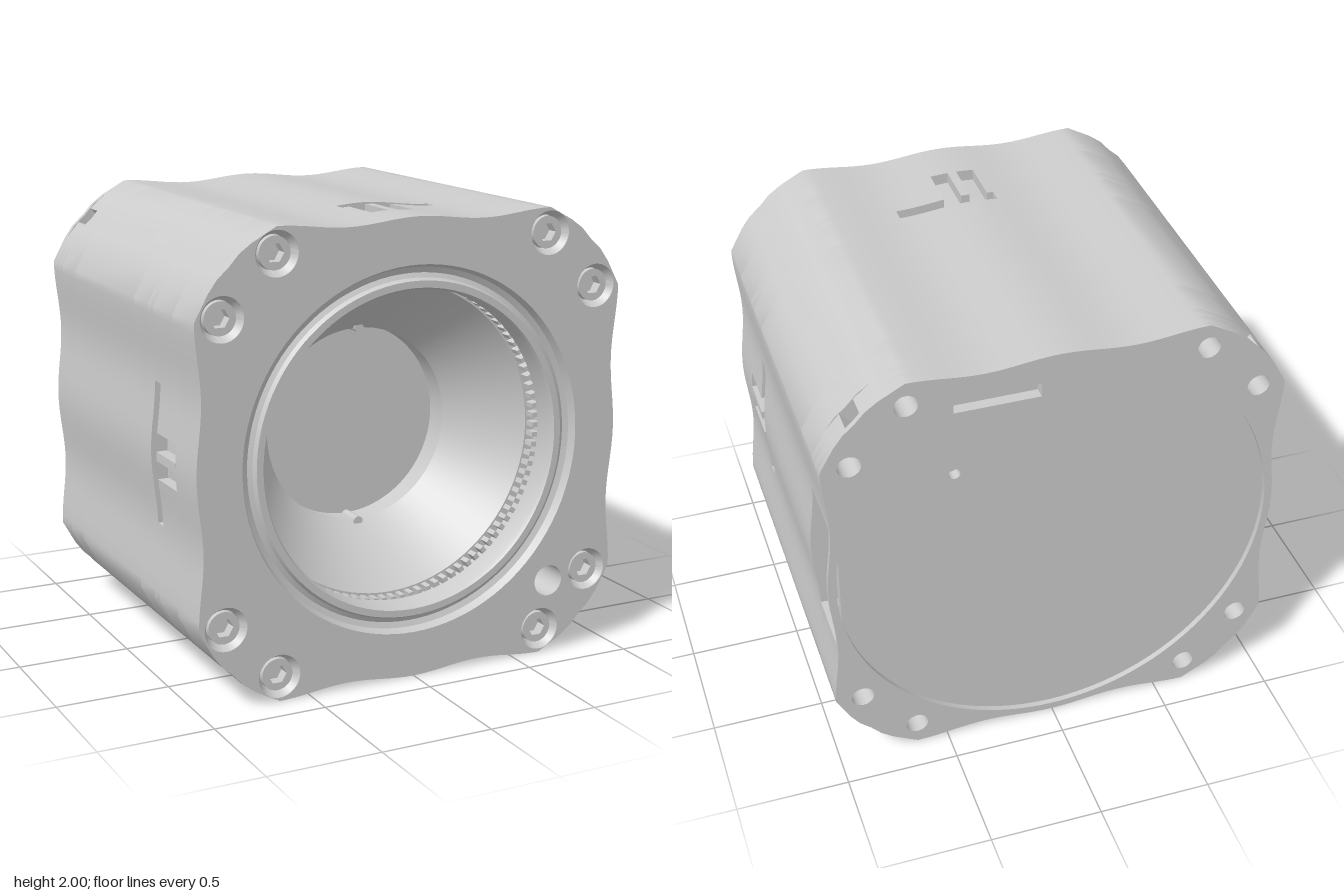
import * as THREE from 'three';
import { toCreasedNormals, mergeGeometries } from 'three/addons/utils/BufferGeometryUtils.js';

const mat = new THREE.MeshStandardMaterial({ color: 0xcccccc });
const matDouble = new THREE.MeshStandardMaterial({ color: 0xcccccc, side: THREE.DoubleSide });

// Wavy half-width of a side at position t
const wave = t => 0.9875 + 0.0125 * Math.cos((2 * Math.PI * t) / 0.64);
const cornerPlain = [[0.94, 0.75], [0.9, 0.805], [0.85, 0.85], [0.805, 0.9], [0.75, 0.94]];
const cornerCut = [[0.94, 0.75], [0.88, 0.82], [0.81, 0.75], [0.75, 0.81], [0.82, 0.88], [0.75, 0.94]];

// Housing outline; cuts[k] lists [from, to, depth] notches on side k (+x, top, -x, bottom)
function outline(cuts = [], corner = cornerPlain) {
  const pts = [];
  for (let k = 0; k < 4; k++) {
    const list = cuts[k] || [];
    const side = [];
    for (let i = 0; i <= 32; i++) {
      const t = -0.64 + i * 0.04;
      if (!list.some(([a, b]) => t >= a - 0.005 && t <= b + 0.005)) side.push([wave(t), t]);
    }
    for (const [a, b, d] of list) {
      side.push([wave(a), a], [wave(a) - d, a], [wave(b) - d, b], [wave(b), b]);
    }
    side.sort((p, q) => p[1] - q[1]);
    const c = Math.round(Math.cos(k * Math.PI / 2)), s = Math.round(Math.sin(k * Math.PI / 2));
    for (const [x, y] of [...side, ...corner]) pts.push(new THREE.Vector2(x * c - y * s, x * s + y * c));
  }
  return new THREE.Shape(pts);
}

const circle = (x, y, r) => new THREE.Path().absarc(x, y, r, 0, Math.PI * 2, true);

function add(group, name, geometry, material = mat) {
  const mesh = new THREE.Mesh(geometry, material);
  mesh.name = name;
  group.add(mesh);
  return mesh;
}

function slice(group, name, z0, z1, shape, holes = []) {
  shape.holes.push(...holes);
  const geo = new THREE.ExtrudeGeometry(shape, { depth: z1 - z0, bevelEnabled: false, curveSegments: 48 });
  geo.translate(0, 0, z0);
  return add(group, name, toCreasedNormals(geo, 0.7));
}

function lathe(points) {
  const geo = new THREE.LatheGeometry(points.map(p => new THREE.Vector2(...p)), 96);
  geo.rotateX(Math.PI / 2);
  return toCreasedNormals(geo, 0.5);
}

export function createModel() {
  const root = new THREE.Group();
  root.name = 'cameraHousing';
  const body = new THREE.Group();
  body.name = 'body';
  body.position.y = 1;
  root.add(body);

  // Screw positions: two near each corner
  const screws = [];
  for (const sx of [-1, 1]) for (const sy of [-1, 1]) {
    screws.push([0.64 * sx, 0.89 * sy], [0.88 * sx, 0.645 * sy]);
  }
  const screwHoles = r => screws.map(([x, y]) => circle(x, y, r));

  // Latch recesses on the four sides
  const pads = [[-0.1, -0.02, 0.05], [0.02, 0.1, 0.05]];
  const bar = [[-0.31, 0.31, 0.05]];
  const topBar = [[-0.32, 0.13, 0.05]];
  const bottomBar = [[-0.13, 0.32, 0.05]];
  const port = d => [[[-0.325, 0.325, d]]];

  // Housing, front to back
  slice(body, 'frontFrame', 0.63, 0.855, outline(),
    [circle(0, 0, 0.8), circle(0.68, -0.67, 0.07), ...screwHoles(0.095)]);
  slice(body, 'latchPads', 0.42, 0.63, outline([pads, pads, pads, pads]), [circle(0, 0, 0.8)]);
  slice(body, 'latchBars', 0.36, 0.42, outline([bar, topBar, bar, bottomBar]), [circle(0, 0, 0.8)]);
  slice(body, 'lensSeat', 0.2, 0.36, outline(), [circle(0, 0, 0.6)]);
  slice(body, 'mainHousing', -0.55, 0.2, outline());
  slice(body, 'sidePort', -0.73, -0.55, outline(port(0.14)));
  slice(body, 'rearHousing', -0.78, -0.73, outline(port(0.14), cornerCut), screwHoles(0.05));

  // Back plate with slot and pinhole, inside a thin rim
  const slot = new THREE.Path([[0.07, 0.79], [0.07, 0.855], [0.44, 0.855], [0.44, 0.79]]
    .map(p => new THREE.Vector2(...p)));
  slice(body, 'backPlate', -0.83, -0.78, outline(port(0.03), cornerCut),
    [slot, circle(0.44, 0.48, 0.025), ...screwHoles(0.05)]);
  slice(body, 'backRim', -0.855, -0.83, outline(), [circle(0, 0, 0.965), ...screwHoles(0.05)]);

  // Lens opening: stepped rings, tooth groove, cone and inner disc
  add(body, 'lensOpening', lathe([
    [0.8, 0.855], [0.785, 0.82], [0.76, 0.81], [0.74, 0.82], [0.73, 0.84], [0.7, 0.84], [0.69, 0.82],
    [0.69, 0.72], [0.735, 0.72], [0.735, 0.62], [0.69, 0.62], [0.44, 0.31], [0.44, 0.2], [0, 0.2],
  ]), matDouble);

  // Ring of fine teeth inside the opening
  const teeth = [];
  for (let i = 0; i < 100; i++) {
    const tooth = new THREE.BoxGeometry(0.035, 0.022, 0.05);
    tooth.translate(0.715, 0, 0.645);
    tooth.rotateZ((i / 100) * Math.PI * 2);
    teeth.push(tooth);
  }
  add(body, 'toothRing', mergeGeometries(teeth));

  // Locating pins at the top and bottom of the inner disc
  for (const s of [-1, 1]) {
    const pin = add(body, 'locatingPin', new THREE.CylinderGeometry(0.022, 0.022, 0.12, 16));
    pin.rotation.x = Math.PI / 2;
    pin.position.set(0, 0.445 * s, 0.27);
  }

  // Recessed screws with hexagonal sockets
  const head = new THREE.Shape().absarc(0, 0, 0.07, 0, Math.PI * 2, false);
  const hex = [];
  for (let i = 0; i < 6; i++) {
    const a = -i * Math.PI / 3;
    hex.push(new THREE.Vector2(0.042 * Math.cos(a), 0.042 * Math.sin(a)));
  }
  head.holes.push(new THREE.Path(hex));
  const headGeo = toCreasedNormals(
    new THREE.ExtrudeGeometry(head, { depth: 0.05, bevelEnabled: false, curveSegments: 16 }), 0.6);
  const collarGeo = lathe([[0.095, 0.85], [0.075, 0.82], [0.075, 0.78], [0, 0.78]]);
  for (const [x, y] of screws) {
    const screw = new THREE.Group();
    screw.name = 'screw';
    screw.position.set(x, y, 0);
    add(screw, 'screwCollar', collarGeo, matDouble);
    add(screw, 'screwHead', headGeo).position.z = 0.782;
    body.add(screw);
  }
  return root;
}
